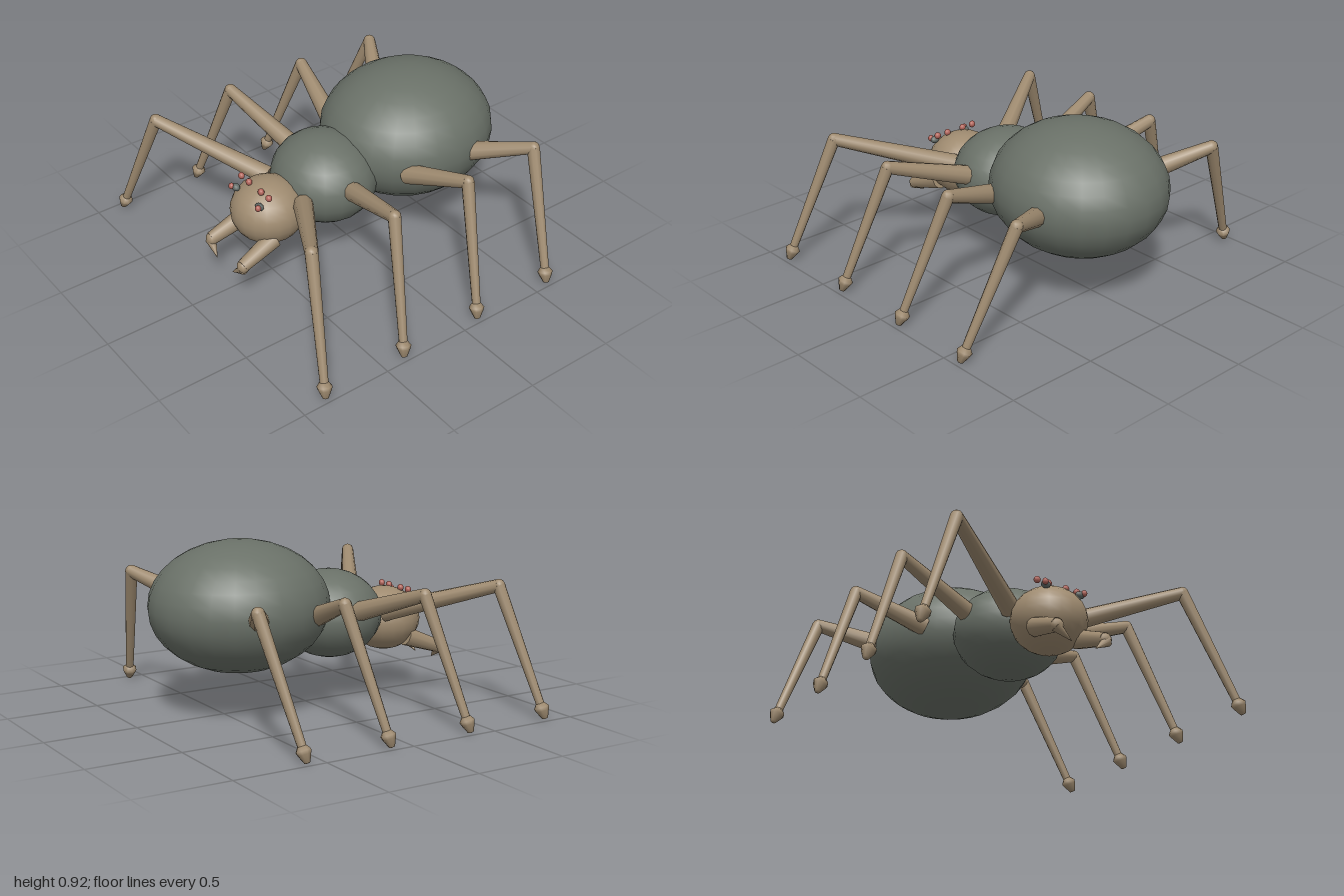
import * as THREE from 'three';

const shell = new THREE.MeshStandardMaterial({ color: 0x6a7168 });
shell.name = 'greyGreenShell';
const tan = new THREE.MeshStandardMaterial({ color: 0x9f8b70 });
tan.name = 'tanLimb';
const red = new THREE.MeshStandardMaterial({ color: 0xb2645a });
red.name = 'redEye';
const dark = new THREE.MeshStandardMaterial({ color: 0x646c68 });
dark.name = 'greyEye';

const V = (x, y, z) => new THREE.Vector3(x, y, z);
const UP = V(0, 1, 0);

function add(parent, name, geometry, material) {
  const mesh = new THREE.Mesh(geometry, material);
  mesh.name = name;
  parent.add(mesh);
  return mesh;
}

// Ellipsoid from centre and radii
function ellipsoid(parent, name, material, centre, radii, w = 20, h = 14) {
  const mesh = add(parent, name, new THREE.SphereGeometry(1, w, h), material);
  mesh.position.copy(centre);
  mesh.scale.copy(radii);
  return mesh;
}

// Tapered round segment between two points
function segment(parent, name, a, b, ra, rb) {
  const dir = b.clone().sub(a);
  const mesh = add(parent, name, new THREE.CylinderGeometry(rb, ra, dir.length(), 10), tan);
  mesh.position.copy(a).lerp(b, 0.5);
  mesh.quaternion.setFromUnitVectors(UP, dir.normalize());
  return mesh;
}

// Leg: thick upper segment, knee, thin lower segment, flared pointed foot
function leg(name, s, hip, knee, ankle) {
  const g = new THREE.Group();
  g.name = name;
  const [h, k, f] = [hip, knee, ankle].map(([x, y, z]) => V(s * x, y, z));
  segment(g, 'upperLeg', h, k, 0.054, 0.034);
  ellipsoid(g, 'knee', tan, k, V(0.034, 0.034, 0.034), 10, 8);
  segment(g, 'lowerLeg', k, f, 0.034, 0.022);
  const profile = [[0, -0.01], [0.024, -0.01], [0.04, 0.012], [0.034, 0.03], [0.015, 0.072], [0, 0.075]]
    .map(([r, y]) => new THREE.Vector2(r, -y)).reverse();
  const foot = add(g, 'foot', new THREE.LatheGeometry(profile, 8), tan);
  foot.position.copy(f);
  foot.quaternion.setFromUnitVectors(V(0, -1, 0), f.clone().sub(k).normalize());
  return g;
}

export function createModel() {
  const model = new THREE.Group();
  model.name = 'spider';

  // Body
  ellipsoid(model, 'abdomen', shell, V(0, 0.567, -0.403), V(0.452, 0.346, 0.483), 24, 16);
  ellipsoid(model, 'thorax', shell, V(0, 0.471, 0.15), V(0.297, 0.239, 0.282));
  ellipsoid(model, 'head', tan, V(0, 0.407, 0.51), V(0.2, 0.175, 0.2));

  // Hip, knee and ankle of each leg, front to back
  const legs = [
    [[0.16, 0.475, 0.4], [0.71, 0.672, 0.74], [0.945, 0.07, 0.845]],
    [[0.24, 0.51, 0.16], [0.725, 0.672, 0.255], [0.945, 0.07, 0.36]],
    [[0.34, 0.54, -0.14], [0.72, 0.672, -0.22], [0.945, 0.07, -0.12]],
    [[0.39, 0.56, -0.51], [0.695, 0.672, -0.69], [0.945, 0.07, -0.6]],
  ];

  for (const s of [1, -1]) {
    const side = s > 0 ? 'left' : 'right';
    legs.forEach((p, i) => model.add(leg(`${side}Leg${i + 1}`, s, ...p)));

    // Jaw with an inward fang
    const jaw = new THREE.Group();
    jaw.name = `${side}Jaw`;
    segment(jaw, 'jawBase', V(s * 0.13, 0.315, 0.57), V(s * 0.147, 0.24, 0.775), 0.052, 0.036);
    ellipsoid(jaw, 'jawJoint', tan, V(s * 0.147, 0.238, 0.772), V(0.036, 0.036, 0.032), 10, 8);
    segment(jaw, 'fang', V(s * 0.155, 0.23, 0.775), V(s * 0.073, 0.165, 0.79), 0.03, 0.001);
    model.add(jaw);

    // Eyes
    ellipsoid(model, `${side}InnerEye`, red, V(s * 0.055, 0.574, 0.585), V(0.019, 0.019, 0.017), 10, 8);
    ellipsoid(model, `${side}OuterEye`, red, V(s * 0.125, 0.574, 0.585), V(0.019, 0.019, 0.017), 10, 8);
    ellipsoid(model, `${side}LowerEye`, red, V(s * 0.122, 0.538, 0.65), V(0.016, 0.018, 0.016), 10, 8);
    ellipsoid(model, `${side}MainEye`, dark, V(s * 0.108, 0.532, 0.633), V(0.027, 0.02, 0.021), 10, 8);
  }
  return model;
}
